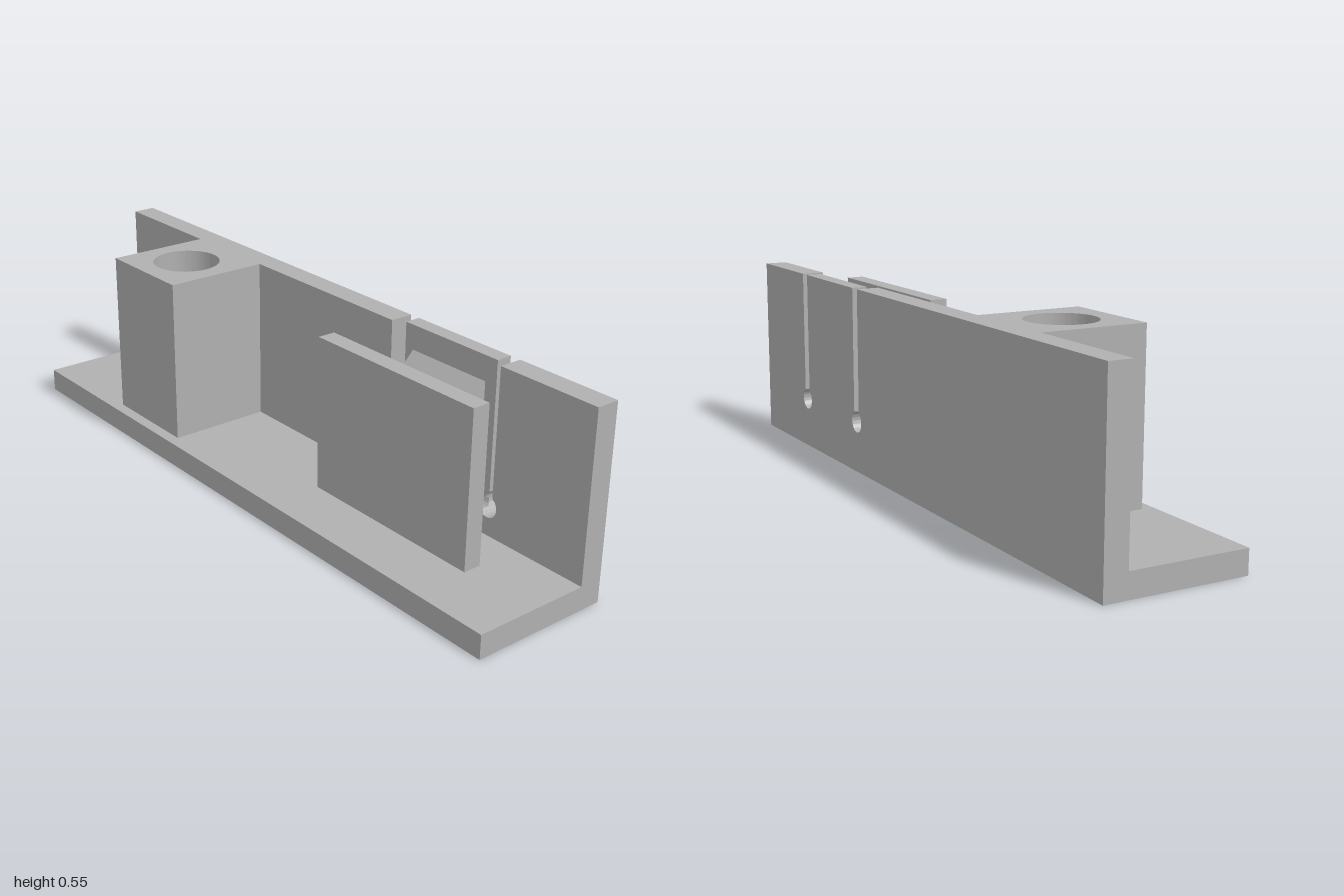
import * as THREE from 'three';
import { toCreasedNormals } from 'three/addons/utils/BufferGeometryUtils.js';

const HALF = 0.206, HEIGHT = 0.552, BASE = 0.069;
const WALL_IN = 0.138, TONGUE_IN = 0.16;          // inner faces of wall and thinned tongue
const SLOTS = [-0.298, -0.67];                    // slot centres, measured along -z
const SLOT_W = 0.016, HOLE_R = 0.032, HOLE_Y = 0.153, RECESS_Y = 0.14;

export function createModel() {
  const model = new THREE.Group();
  const grey = new THREE.MeshStandardMaterial({ color: 0xb0b0b0 });
  grey.name = 'grey plastic';

  const add = (name, geometry) => {
    const mesh = new THREE.Mesh(geometry, grey);
    mesh.name = name;
    model.add(mesh);
    return mesh;
  };
  const box = (name, x0, x1, y0, y1, z0, z1) => add(name,
    new THREE.BoxGeometry(x1 - x0, y1 - y0, z1 - z0)
      .translate((x0 + x1) / 2, (y0 + y1) / 2, (z0 + z1) / 2));
  const extrude = (shape, depth) => new THREE.ExtrudeGeometry(shape,
    { depth, bevelEnabled: false, curveSegments: 40 });
  const smooth = (geometry) => toCreasedNormals(geometry, 0.5);

  // Base plate
  box('base', -HALF, WALL_IN, 0, BASE, -1, 1);

  // Wall outline in (-z, y), with the top edge running from back to front
  const wallShape = (cutTop) => {
    const s = new THREE.Shape();
    s.moveTo(-1, 0);
    s.lineTo(1, 0);
    s.lineTo(1, HEIGHT);
    cutTop(s);
    s.lineTo(-1, HEIGHT);
    return s;
  };
  const rise = Math.PI / 3;
  const dip = Math.asin((HOLE_Y - RECESS_Y) / HOLE_R);

  // Outer layer: two keyhole slots
  const outer = wallShape((s) => {
    for (const u of SLOTS) {
      s.lineTo(u + SLOT_W, HEIGHT);
      s.absarc(u, HOLE_Y, HOLE_R, rise, Math.PI - rise, true);
      s.lineTo(u - SLOT_W, HEIGHT);
    }
  });
  // Inner layer: cleared between the slots so that the tongue is thinner
  const inner = wallShape((s) => {
    s.lineTo(SLOTS[0] + SLOT_W, HEIGHT);
    s.absarc(SLOTS[0], HOLE_Y, HOLE_R, rise, Math.PI + dip, true);
    s.absarc(SLOTS[1], HOLE_Y, HOLE_R, -dip, Math.PI - rise, true);
    s.lineTo(SLOTS[1] - SLOT_W, HEIGHT);
  });
  const layer = (name, shape, x0, x1) =>
    add(name, smooth(extrude(shape, x1 - x0).rotateY(Math.PI / 2).translate(x0, 0, 0)));
  layer('wallOuter', outer, TONGUE_IN, HALF);
  layer('wallInner', inner, WALL_IN, TONGUE_IN);

  // Rounded foot of the tongue
  const r = TONGUE_IN - WALL_IN;
  const foot = new THREE.Shape();
  foot.moveTo(TONGUE_IN, RECESS_Y);
  foot.lineTo(WALL_IN, RECESS_Y);
  foot.absarc(WALL_IN, RECESS_Y + r, r, -Math.PI / 2, 0, false);
  const footStart = -SLOTS[0] + SLOT_W, footEnd = -SLOTS[1] - SLOT_W;
  add('tongueFoot', smooth(extrude(foot, footEnd - footStart).translate(0, 0, footStart)));

  // Catch: a triangular ridge on the tongue
  const ridge = new THREE.Shape();
  ridge.moveTo(TONGUE_IN, 0.381);
  ridge.lineTo(TONGUE_IN, 0.481);
  ridge.lineTo(0.11, 0.431);
  add('catch', extrude(ridge, 0.271).translate(0, 0, 0.344));

  // Upright plate facing the catch
  box('uprightPlate', -0.04, 0.013, BASE, 0.518, 0.19, 0.774);

  // Block with a round vertical bore, outlined in (x, -z)
  const block = new THREE.Shape();
  block.moveTo(-0.172, 0.311);
  block.lineTo(WALL_IN, 0.311);
  block.lineTo(WALL_IN, 0.62);
  block.lineTo(-0.172, 0.62);
  const bore = new THREE.Path();
  bore.absarc(-0.018, 0.467, 0.099, 0, Math.PI * 2, true);
  block.holes.push(bore);
  add('boredBlock', smooth(extrude(block, HEIGHT - BASE)
    .rotateX(-Math.PI / 2).translate(0, BASE, 0)));

  return model;
}
